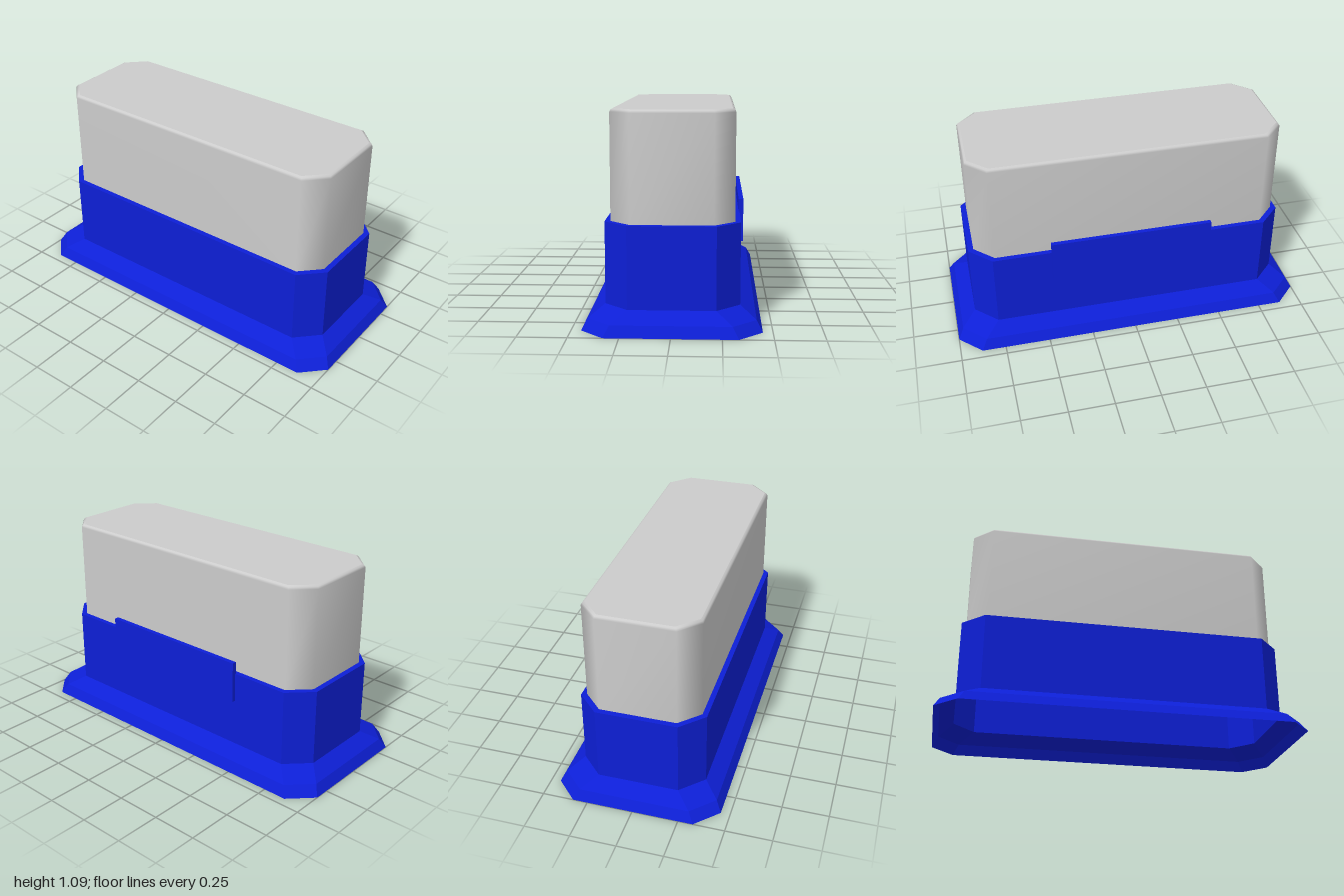
import * as THREE from 'three';

const blue = new THREE.MeshStandardMaterial({ color: 0x0d1fd6, flatShading: true, side: THREE.DoubleSide });
const grey = new THREE.MeshStandardMaterial({ color: 0xcccccc, side: THREE.DoubleSide });

// Corners of a rectangle with cut corners, in the x/z plane
function octagon(hx, hz, cut) {
  const a = hx - cut, b = hz - cut;
  return [[a, hz], [hx, b], [hx, -b], [a, -hz], [-a, -hz], [-hx, -b], [-hx, b], [-a, hz]];
}

// Skin over stacked octagons, each given as [hx, hz, cut, y] from bottom to top
function loft(sections) {
  const pos = [], idx = [];
  for (const [hx, hz, cut, y] of sections)
    for (const [x, z] of octagon(hx, hz, cut)) pos.push(x, y, z);
  for (let s = 0; s < sections.length - 1; s++)
    for (let i = 0; i < 8; i++) {
      const a = s * 8 + i, b = s * 8 + (i + 1) % 8;
      idx.push(a, b, b + 8, a, b + 8, a + 8);
    }
  const g = new THREE.BufferGeometry();
  g.setAttribute('position', new THREE.Float32BufferAttribute(pos, 3));
  g.setIndex(idx);
  g.computeVertexNormals();
  return g;
}

// Flat octagonal plate at height y, facing up or down
function plate(hx, hz, cut, y, up) {
  const shape = new THREE.Shape(octagon(hx, hz, cut).map(([x, z]) => new THREE.Vector2(x, z)));
  const g = new THREE.ShapeGeometry(shape);
  g.rotateX(up ? -Math.PI / 2 : Math.PI / 2);
  g.translate(0, y, 0);
  return g;
}

export function createModel() {
  const model = new THREE.Group();
  const add = (name, geometry, material) => {
    const mesh = new THREE.Mesh(geometry, material);
    mesh.name = name;
    model.add(mesh);
    return mesh;
  };

  // Hollow skirt: flared foot, upright wall, narrow inward rim
  add('flaredFoot', loft([
    [0.45, 1.0, 0.12, 0],
    [0.42, 0.97, 0.12, 0.055],
    [0.34, 0.89, 0.12, 0.11],
  ]), blue);
  add('skirtWall', loft([[0.34, 0.89, 0.12, 0.11], [0.34, 0.89, 0.12, 0.53]]), blue);
  add('skirtRim', loft([[0.34, 0.89, 0.12, 0.53], [0.31, 0.86, 0.105, 0.53]]), blue);

  // Smooth upper block with a small bevel round its top
  add('upperBlock', loft([
    [0.312, 0.86, 0.105, 0.53],
    [0.312, 0.86, 0.105, 1.075],
    [0.306, 0.854, 0.103, 1.086],
    [0.296, 0.844, 0.1, 1.092],
  ]), grey);
  add('blockTop', plate(0.296, 0.844, 0.1, 1.092, true), grey);
  add('blockLowerEdge', loft([[0.28, 0.83, 0.095, 0.53], [0.312, 0.86, 0.105, 0.53]]), grey);

  // Inner panel closing the block from below
  add('innerPanel', plate(0.28, 0.83, 0.095, 0.53, false), blue);

  // Raised side tab on the model's left
  add('sideTab', new THREE.BoxGeometry(0.025, 0.227, 0.9), blue).position.set(0.3475, 0.4835, 0);

  return model;
}
